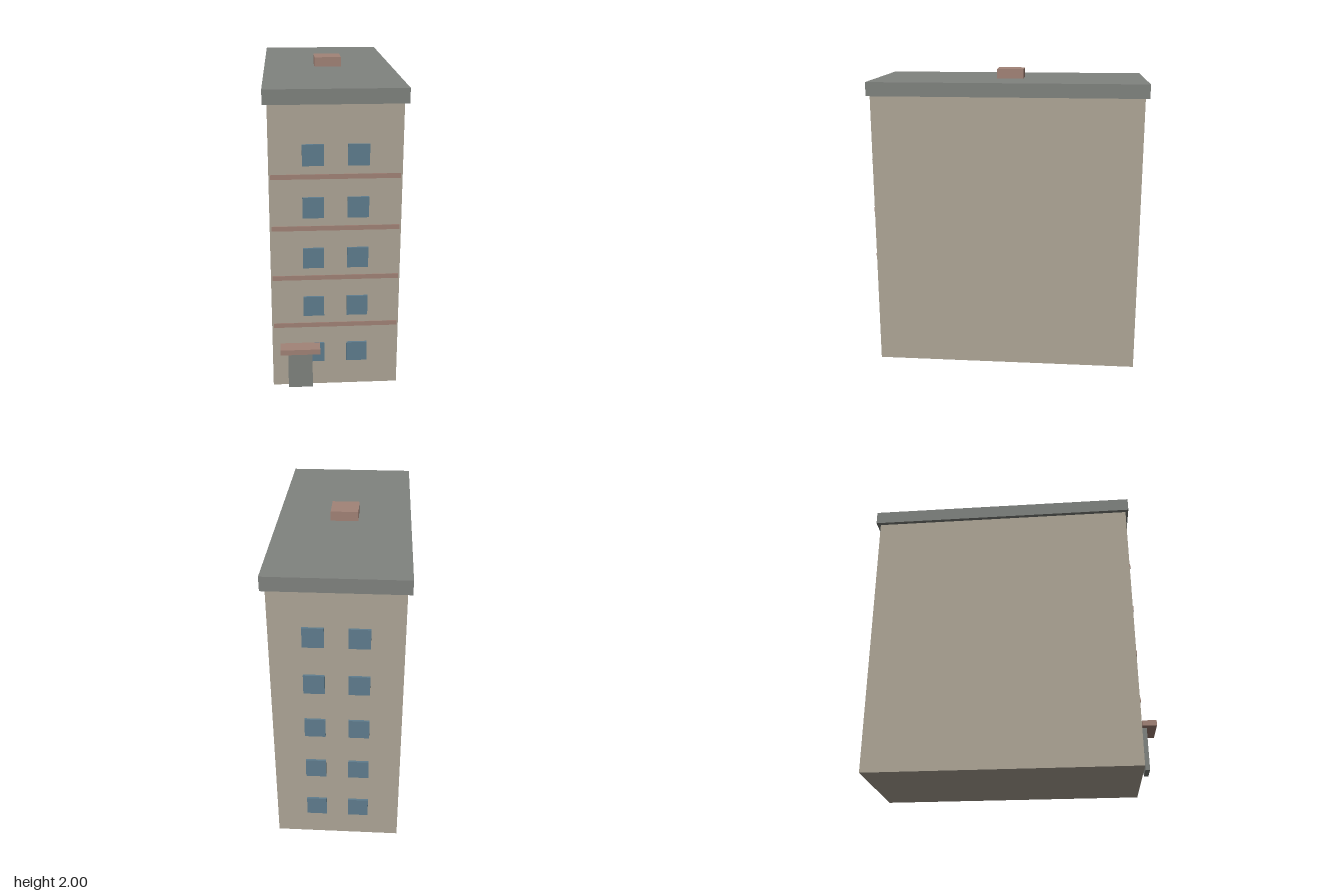
import * as THREE from 'three';

const material = (name, color) => {
  const m = new THREE.MeshStandardMaterial({ color });
  m.name = name;
  return m;
};

export function createModel() {
  const model = new THREE.Group();
  model.name = 'apartmentBlock';
  const wall = material('beigeWall', 0xaea697);
  const slate = material('greySlate', 0x80837f);
  const brick = material('dustyBrick', 0xa28377);
  const glass = material('blueGlass', 0x5f7d8e);

  // Box given by its minimum and maximum on each axis
  const box = (name, mat, [x0, x1], [y0, y1], [z0, z1]) => {
    const mesh = new THREE.Mesh(new THREE.BoxGeometry(x1 - x0, y1 - y0, z1 - z0), mat);
    mesh.position.set((x0 + x1) / 2, (y0 + y1) / 2, (z0 + z1) / 2);
    mesh.name = name;
    model.add(mesh);
  };

  // Main block, overhanging roof slab and rooftop hatch
  box('building', wall, [-0.4, 0.4], [0, 1.848], [-0.92, 0.848]);
  box('roof', slate, [-0.427, 0.427], [1.848, 1.938], [-0.945, 0.867]);
  box('roofHatch', brick, [-0.09, 0.087], [1.938, 2], [-0.13, 0.05]);

  // Two windows per floor on front and back, with bands between front floors
  const pitch = 0.327;
  for (let floor = 0; floor < 5; floor++) {
    const y = 0.237 + floor * pitch;
    for (const x of [-0.136, 0.136]) {
      const xs = [x - 0.065, x + 0.065];
      const ys = [y - 0.065, y + 0.065];
      box('frontWindow', glass, xs, ys, [0.846, 0.862]);
      box('backWindow', glass, xs, ys, [-0.934, -0.918]);
    }
    if (floor < 4) {
      const b = 0.43 + floor * pitch;
      box('floorBand', brick, [-0.39, 0.39], [b - 0.015, b + 0.015], [0.84, 0.853]);
    }
  }

  // Entrance door under a projecting canopy
  box('door', slate, [-0.302, -0.147], [0, 0.27], [0.857, 0.885]);
  box('doorCanopy', brick, [-0.35, -0.1], [0.27, 0.305], [0.855, 0.945]);

  return model;
}
